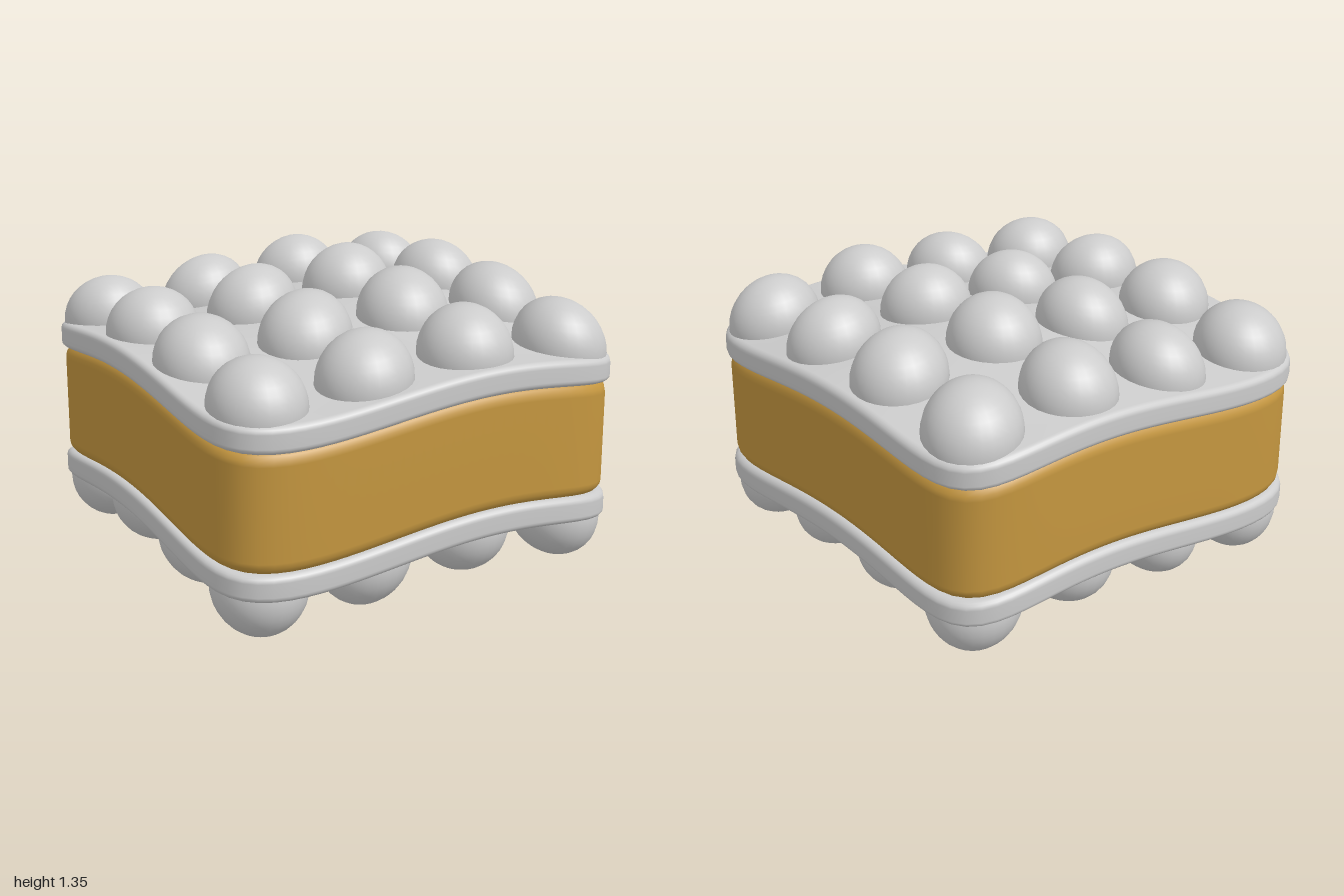
import * as THREE from 'three';

// Gentle wave shared by every layer
const wave = (x, z) => 0.045 * Math.sin(3 * x + 0.67) + 0.045 * Math.cos(2.8 * (z + 0.11));

function bend(geometry) {
  const p = geometry.attributes.position;
  for (let i = 0; i < p.count; i++) p.setY(i, p.getY(i) + wave(p.getX(i), p.getZ(i)));
  geometry.computeBoundingSphere();
  return geometry;
}

// Rounded-square slab: rings run from the bottom centre, around the filleted rim, to the top centre
function slab(half, y0, y1, fillet) {
  const COLS = 128, N = 7.5, FACE = 14, ARC = 5;
  const rings = [];
  for (let i = 0; i < FACE; i++) rings.push([(half - fillet) * Math.max(i / FACE, 0.001), y0]);
  for (let i = 0; i <= ARC; i++) {
    const a = (i / ARC) * Math.PI / 2;
    rings.push([half - fillet + fillet * Math.sin(a), y0 + fillet - fillet * Math.cos(a)]);
  }
  const lower = rings.slice().reverse();
  for (const [r, y] of lower) rings.push([r, y0 + y1 - y]);

  const pos = [], index = [];
  for (const [r, y] of rings) {
    for (let j = 0; j < COLS; j++) {
      const t = (j / COLS) * Math.PI * 2, c = Math.cos(t), s = Math.sin(t);
      const k = r * Math.pow(Math.abs(c) ** N + Math.abs(s) ** N, -1 / N);
      pos.push(k * c, y, k * s);
    }
  }
  for (let i = 0; i < rings.length - 1; i++) {
    for (let j = 0; j < COLS; j++) {
      const a = i * COLS + j, b = i * COLS + (j + 1) % COLS;
      index.push(a, a + COLS, b, b, a + COLS, b + COLS);
    }
  }
  const g = new THREE.BufferGeometry();
  g.setAttribute('position', new THREE.Float32BufferAttribute(pos, 3));
  g.setIndex(index);
  bend(g).computeVertexNormals();
  return g;
}

export function createModel() {
  const model = new THREE.Group();
  model.name = 'layeredBlock';
  const grey = new THREE.MeshStandardMaterial({ color: 0xcccccc });
  const amber = new THREE.MeshStandardMaterial({ color: 0xc4963f });

  const add = (name, geometry, material, parent = model) => {
    const mesh = new THREE.Mesh(geometry, material);
    mesh.name = name;
    parent.add(mesh);
  };

  // Soft core between two thin plates
  add('core', slab(0.987, 0.41, 0.96, 0.07), amber);
  add('upperPlate', slab(1, 0.94, 1.06, 0.03), grey);
  add('lowerPlate', slab(1, 0.31, 0.43, 0.03), grey);

  // Four-by-four grids of studs half sunk into the outer faces
  for (const [name, y] of [['upperStuds', 1.063], ['lowerStuds', 0.294]]) {
    const studs = new THREE.Group();
    studs.name = name;
    model.add(studs);
    for (let i = 0; i < 4; i++) {
      for (let j = 0; j < 4; j++) {
        const ball = new THREE.SphereGeometry(0.21, 28, 18);
        ball.translate(-0.75 + i * 0.5, y, -0.75 + j * 0.5);
        bend(ball);
        add('stud', ball, grey, studs);
      }
    }
  }
  return model;
}
